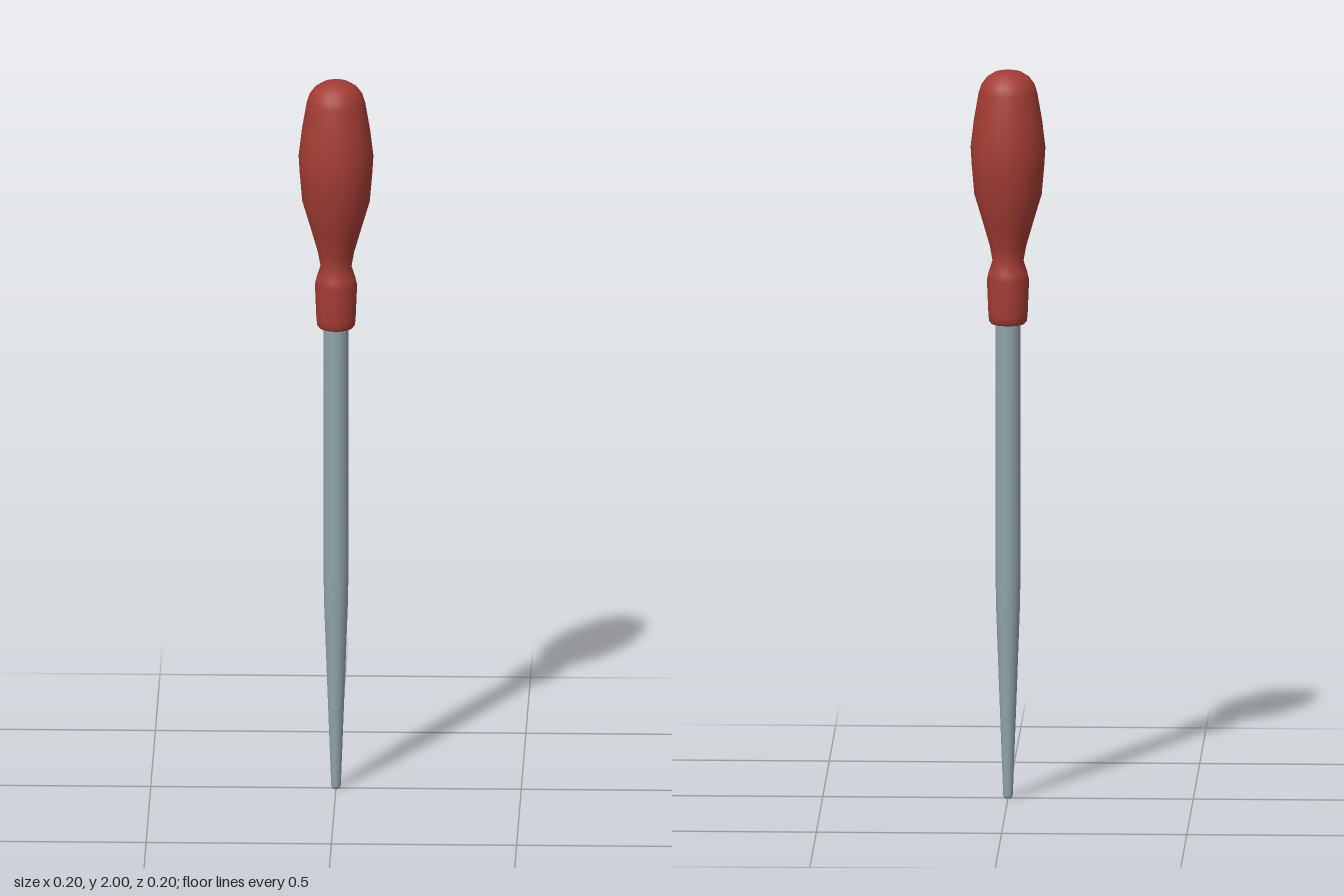
import * as THREE from 'three';

const SIDES = 24;

// Smooth turned part from [radius, height] points, bottom to top
function turned(name, points, color) {
  const profile = points.map(([r, y]) => new THREE.Vector2(r, y));
  const mesh = new THREE.Mesh(
    new THREE.LatheGeometry(profile, SIDES),
    new THREE.MeshStandardMaterial({ color })
  );
  mesh.name = name;
  return mesh;
}

export function createModel() {
  const model = new THREE.Group();
  model.name = 'roundFile';

  // Round steel shaft, tapering to a small blunt tip
  model.add(turned('blade', [
    [0, 0], [0.010, 0], [0.013, 0.008], [0.024, 0.3], [0.032, 0.52],
    [0.034, 0.62], [0.034, 1.34],
  ], 0x8fa3ab));

  // Turned handle: ferrule collar, narrow waist, swelling grip, domed end
  model.add(turned('handle', [
    [0, 1.305], [0.045, 1.305], [0.051, 1.312], [0.053, 1.33],
    [0.057, 1.425], [0.052, 1.447], [0.042, 1.478], [0.049, 1.517],
    [0.068, 1.583], [0.091, 1.66], [0.098, 1.74], [0.101, 1.79],
    [0.092, 1.865], [0.079, 1.94], [0.072, 1.962], [0.058, 1.981],
    [0.036, 1.995], [0.018, 1.999], [0, 2],
  ], 0xa33c34));

  return model;
}
